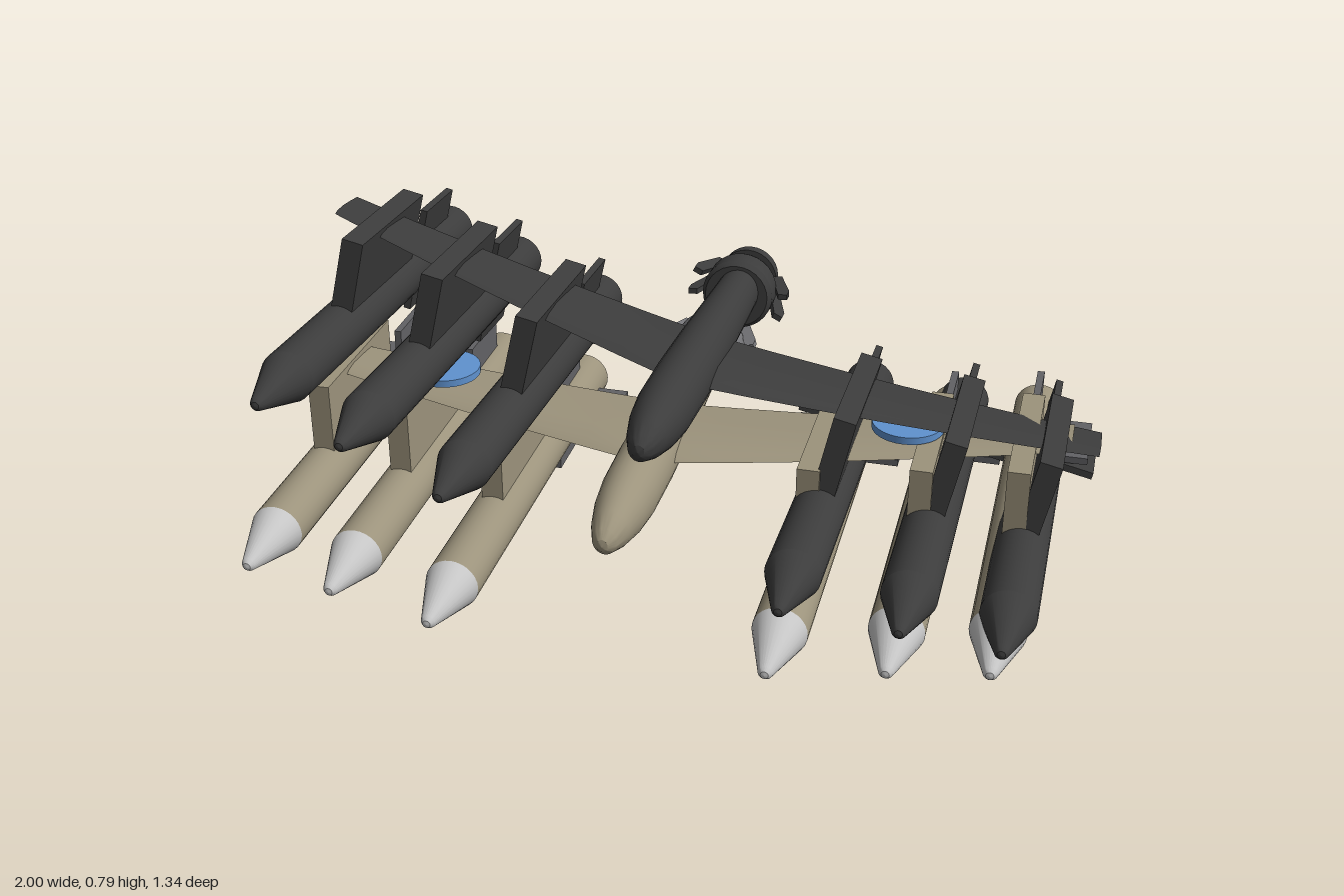
import * as THREE from 'three';
import { toCreasedNormals } from 'three/addons/utils/BufferGeometryUtils.js';

function mat(name, color) {
  const m = new THREE.MeshStandardMaterial({ color });
  m.name = name;
  return m;
}

function add(parent, name, geometry, material, x = 0, y = 0, z = 0) {
  const mesh = new THREE.Mesh(geometry, material);
  mesh.name = name;
  mesh.position.set(x, y, z);
  parent.add(mesh);
  return mesh;
}

// Round body along z from [radius, z] pairs listed tail to nose
function turned(points, sides = 28) {
  const g = new THREE.LatheGeometry(points.map(([r, z]) => new THREE.Vector2(r, z)), sides);
  g.rotateX(Math.PI / 2);
  return toCreasedNormals(g, 0.5);
}

// Tapered wing with a slight upward curve, lofted from tip to tip
function wingGeometry() {
  const section = [[0, 0], [0.08, 0.6], [0.3, 1], [0.65, 0.6], [1, 0], [0.65, -0.35], [0.3, -0.5], [0.08, -0.4]];
  const n = section.length, steps = 12, pos = [], idx = [];
  for (let s = 0; s <= steps; s++) {
    const x = -0.95 + 1.9 * s / steps, t = Math.abs(x) / 0.95;
    const front = 0.215 - 0.235 * t, back = -0.085 - 0.07 * t;
    const y = 0.015 + 0.033 * t * t, thick = 0.02 - 0.012 * t;
    for (const [c, h] of section) pos.push(x, y + h * thick, front + (back - front) * c);
  }
  for (let s = 0; s < steps; s++) for (let i = 0; i < n; i++) {
    const a = s * n + i, b = s * n + (i + 1) % n;
    idx.push(a, a + n, b, b, a + n, b + n);
  }
  const e = steps * n;
  for (let i = 1; i < n - 1; i++) idx.push(0, i, i + 1, e, e + i + 1, e + i);
  const g = new THREE.BufferGeometry();
  g.setAttribute('position', new THREE.Float32BufferAttribute(pos, 3));
  g.setIndex(idx);
  return toCreasedNormals(g, 0.6);
}

// Missile with cone tip and four tail fins, centred on its length
function missile(c) {
  const g = new THREE.Group();
  g.name = 'missile';
  add(g, 'missileBody', turned([[0, -0.615], [0.063, -0.615], [0.063, 0.45]]), c.body);
  add(g, 'missileTip', turned([[0.063, 0.45], [0.016, 0.605], [0.009, 0.614], [0, 0.617]]), c.tip);
  for (let i = 0; i < 4; i++) {
    const arm = new THREE.Group();
    arm.name = 'finArm';
    arm.rotation.z = i * Math.PI / 2;
    add(arm, 'tailFin', new THREE.BoxGeometry(0.085, 0.018, 0.19), c.fin, 0.1, 0, -0.44);
    g.add(arm);
  }
  return g;
}

// Rear engine: stacked collars, a hub spike and slanted side plates
function engine(c) {
  const g = new THREE.Group();
  g.name = 'engine';
  add(g, 'engineCasing', turned([
    [0, -0.61], [0.012, -0.61], [0.012, -0.595], [0.045, -0.595], [0.05, -0.565],
    [0.073, -0.56], [0.075, -0.525], [0.055, -0.525], [0.055, -0.475], [0.085, -0.47],
    [0.09, -0.455], [0.09, -0.40], [0.08, -0.385], [0, -0.385],
  ]), c.engine);
  const plate = new THREE.Shape([[0.06, 0.53], [0.09, 0.53], [0.128, 0.43], [0.128, 0.4], [0.105, 0.4], [0.085, 0.46]]
    .map(([x, y]) => new THREE.Vector2(x, y)));
  for (const a of [-0.25, 0.25, Math.PI - 0.25, Math.PI + 0.25]) {
    const geo = new THREE.ExtrudeGeometry(plate, { depth: 0.014, bevelEnabled: false });
    geo.translate(0, 0, -0.007);
    geo.rotateX(-Math.PI / 2);
    add(g, 'enginePlate', geo, c.engine).rotation.z = a;
  }
  return g;
}

function aircraft(name, c) {
  const g = new THREE.Group();
  g.name = name;

  // Slim fuselage, slightly taller than wide
  const hull = add(g, 'fuselage', turned([
    [0, -0.41], [0.058, -0.41], [0.064, -0.2], [0.07, 0], [0.073, 0.2], [0.071, 0.35],
    [0.063, 0.43], [0.048, 0.5], [0.03, 0.55], [0.014, 0.568], [0, 0.573],
  ]), c.body, 0, 0.008, 0);
  hull.scale.set(0.92, 1.08, 1);
  add(g, 'wing', wingGeometry(), c.body);
  add(g, 'cameraBall', new THREE.SphereGeometry(0.028, 16, 12), c.body, 0, -0.075, 0.33);
  g.add(engine(c));

  // Pylons and missiles, mirrored: [x, missile y, missile z]
  for (const side of [-1, 1]) {
    for (const [x, y, z] of [[0.38, -0.2, 0.045], [0.63, -0.185, 0], [0.845, -0.175, -0.035]]) {
      const m = missile(c);
      m.position.set(side * x, y, z);
      g.add(m);
      const top = 0.045 + (x - 0.38) * 0.03, bottom = y + 0.055;
      add(g, 'pylon', new THREE.BoxGeometry(0.053, top - bottom, 0.39), c.body,
        side * x, (top + bottom) / 2, z - 0.035);
    }
    // Plain disc above the wing
    if (c.disc) add(g, 'wingDisc', new THREE.CylinderGeometry(0.085, 0.085, 0.018, 32), c.disc, side * 0.572, 0.066, -0.03);
  }
  return g;
}

export function createModel() {
  const model = new THREE.Group();
  model.name = 'aircraftPair';
  const sand = mat('sand', 0x9c937c);
  const dark = mat('charcoal', 0x3c3c3c);
  const finGrey = mat('finGrey', 0x626265);
  const engineGrey = mat('engineGrey', 0x77777a);
  const pale = mat('paleGrey', 0xc6c6c6);
  const blue = mat('blue', 0x5f92cf);

  // Level lower aircraft
  const lower = aircraft('lowerAircraft', { body: sand, tip: pale, fin: finGrey, engine: engineGrey, disc: blue });
  lower.position.set(-0.02, 0.345, 0);
  model.add(lower);

  // Banked upper aircraft with its nose raised
  const upper = aircraft('upperAircraft', { body: dark, tip: dark, fin: dark, engine: dark });
  upper.position.set(0.055, 0.538, -0.02);
  upper.rotation.set(-0.068, 0, -0.212);
  model.add(upper);
  return model;
}
